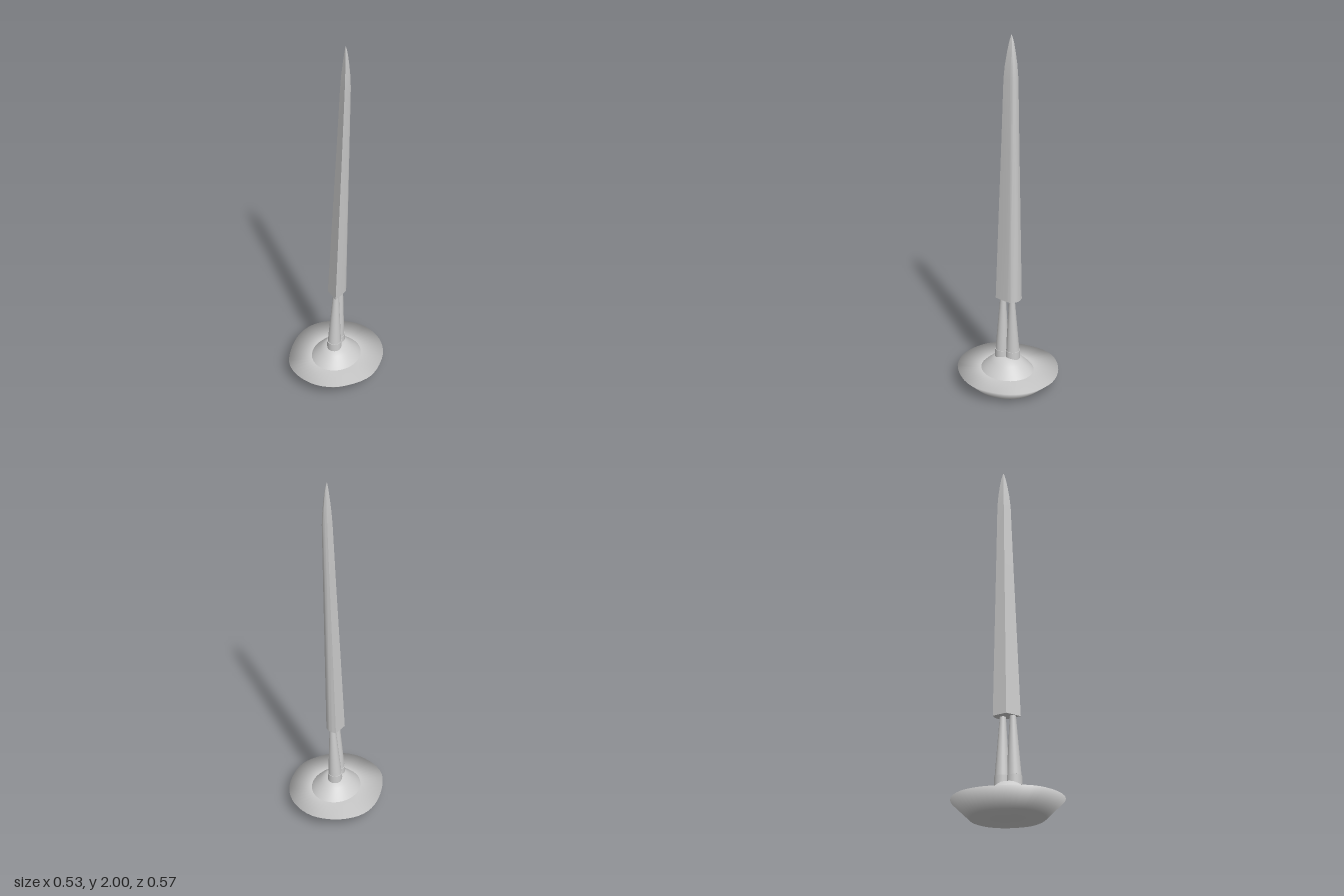
import * as THREE from 'three';
import { toCreasedNormals } from 'three/addons/utils/BufferGeometryUtils.js';

const material = new THREE.MeshStandardMaterial({ color: 0xcccccc, side: THREE.DoubleSide });

// Skin a stack of rings (each counter-clockwise seen from above) and cap both ends.
function loft(rings) {
  const n = rings[0].length, index = [];
  const points = rings.flat();
  const centre = (ring) => ring.reduce((c, p) => c.add(p), new THREE.Vector3()).divideScalar(n);
  points.push(centre(rings[0]), centre(rings.at(-1)));
  const low = points.length - 2, high = points.length - 1, top = (rings.length - 1) * n;
  for (let i = 0; i < n; i++) {
    const j = (i + 1) % n;
    for (let r = 0; r < rings.length - 1; r++) {
      const a = r * n + i, b = r * n + j;
      index.push(a, b, b + n, a, b + n, a + n);
    }
    index.push(low, j, i, high, top + i, top + j);
  }
  const geometry = new THREE.BufferGeometry().setFromPoints(points);
  geometry.setIndex(index);
  geometry.computeVertexNormals();
  return geometry;
}

function add(group, name, geometry) {
  const mesh = new THREE.Mesh(geometry, material);
  mesh.name = name;
  group.add(mesh);
  return mesh;
}

// Tapered round bar between two points
function bar(group, name, from, to, r0, r1) {
  const a = new THREE.Vector3(...from), b = new THREE.Vector3(...to);
  const dir = b.clone().sub(a);
  const mesh = add(group, name, new THREE.CylinderGeometry(r1, r0, dir.length(), 24));
  mesh.position.copy(a).add(b).multiplyScalar(0.5);
  mesh.quaternion.setFromUnitVectors(new THREE.Vector3(0, 1, 0), dir.normalize());
}

export function createModel() {
  const group = new THREE.Group();
  group.name = 'monument';

  // Plinth: irregular soft-edged disc that narrows towards the ground
  const outline = [
    [-0.265, 0], [-0.19, 0.2], [-0.1, 0.265], [0.03, 0.283], [0.14, 0.24], [0.235, 0.13], [0.264, 0.04],
    [0.235, -0.12], [0.17, -0.215], [0.08, -0.27], [-0.03, -0.285], [-0.165, -0.23], [-0.25, -0.13],
  ].map(([x, z]) => new THREE.Vector3(x, 0, z));
  const rim = new THREE.CatmullRomCurve3(outline, true).getSpacedPoints(52).slice(0, 52);
  const plinthRing = ([s, y]) => rim.map((p) => new THREE.Vector3(p.x * s, y, p.z * s));
  add(group, 'plinth', loft([[0.67, 0], [1, 0.09], [0.53, 0.09]].map(plinthRing)));

  // Mound: oval cone rising from the plinth
  const profile = [[0.138, 0.085], [0.115, 0.113], [0.083, 0.145], [0.05, 0.175], [0, 0.178]];
  const mound = add(group, 'mound', new THREE.LatheGeometry(profile.map(([x, y]) => new THREE.Vector2(x, y)), 48));
  mound.scale.z = 1.12;

  // Pair of legs, each on a short collar
  const legs = [
    ['front', [0.006, 0.03], [0.011, 0.02]],
    ['rear', [-0.009, -0.029], [0.006, -0.033]],
  ];
  for (const [side, [x0, z0], [x1, z1]] of legs) {
    bar(group, side + 'Collar', [x0, 0.165, z0], [x0, 0.212, z0], 0.041, 0.04);
    bar(group, side + 'Leg', [x0, 0.212, z0], [x1, 0.56, z1], 0.037, 0.014);
  }

  // Blade: flat front faces, rounded back, shrinking towards its upright back edge
  const corners = [[-0.047, 0.012], [0.03, 0.056], [0.037, -0.012]];
  const back = new THREE.CatmullRomCurve3([[0.037, -0.012], [0.034, -0.048], [0, -0.071], [-0.038, -0.068]]
    .map(([x, z]) => new THREE.Vector3(x, 0, z))).getPoints(12).slice(1);
  const section = [...corners.map(([x, z]) => new THREE.Vector3(x, 0, z)), ...back];
  // Each level: height, section scale, how far it has closed onto the tip
  const levels = [[0.53, 1, 0], [1.0, 0.82, 0], [1.4, 0.66, 0], [1.78, 0.52, 0], [1.85, 0.5, 0.13],
    [1.91, 0.48, 0.35], [1.96, 0.46, 0.6], [1.985, 0.45, 0.8], [2, 0.45, 0.97]];
  const bladeRing = ([y, s, close]) => section.map((p) => {
    const lean = 0.01 * Math.min((y - 0.53) / 1.25, 1);
    const x = 0.037 + (p.x - 0.037) * s + lean;
    const z = -0.073 + (p.z + 0.073) * s;
    return new THREE.Vector3(x, y, z).lerp(new THREE.Vector3(0.026, y, -0.042), close);
  });
  add(group, 'blade', toCreasedNormals(loft(levels.map(bladeRing)), 0.6));

  return group;
}
